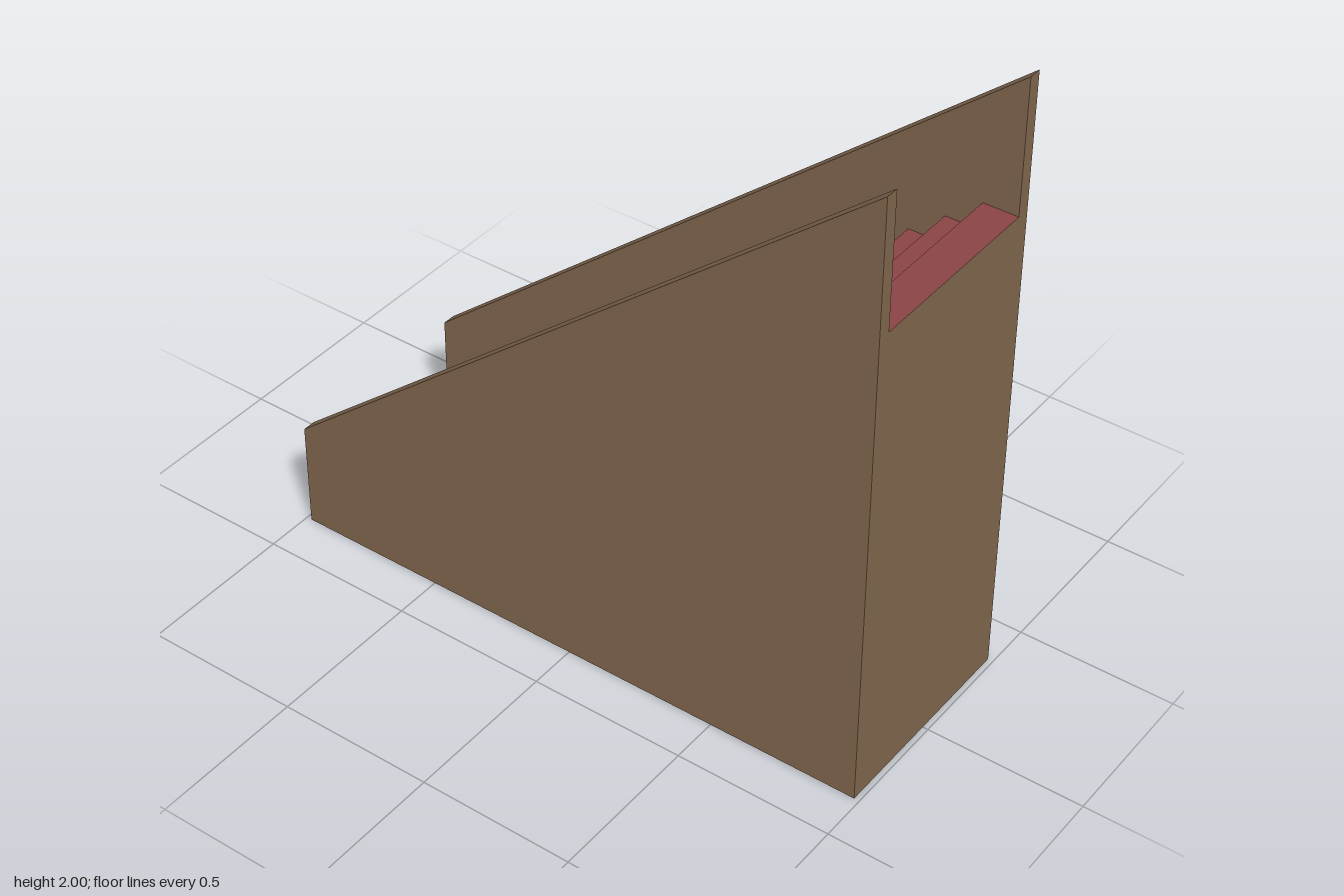
import * as THREE from 'three';

const STEPS = 18;
const HALF_LENGTH = 0.983;   // half the run along z
const INNER = 0.305;         // inner face of each side wall
const OUTER = 0.347;         // outer face of each side wall
const STAIR_TOP = 1.573;
const RUN = (2 * HALF_LENGTH) / STEPS;
const RISE = STAIR_TOP / STEPS;

export function createModel() {
  const wood = new THREE.MeshStandardMaterial({ color: 0x80664e, side: THREE.DoubleSide });
  wood.name = 'brown wood';
  const carpet = new THREE.MeshStandardMaterial({ color: 0x8a4446, side: THREE.DoubleSide });
  carpet.name = 'dark red carpet';

  const group = new THREE.Group();
  group.name = 'staircase';

  const add = (name, geometry, material, x, y, z, parent = group) => {
    const mesh = new THREE.Mesh(geometry, material);
    mesh.name = name;
    mesh.position.set(x, y, z);
    parent.add(mesh);
    return mesh;
  };

  // Side walls: sloped outline in (z, y), extruded across x
  const outline = new THREE.Shape([
    new THREE.Vector2(-HALF_LENGTH, 0),
    new THREE.Vector2(HALF_LENGTH, 0),
    new THREE.Vector2(HALF_LENGTH, 0.35),
    new THREE.Vector2(-HALF_LENGTH, 2),
  ]);
  const wallGeometry = new THREE.ExtrudeGeometry(outline, { depth: OUTER - INNER, bevelEnabled: false });
  wallGeometry.rotateY(Math.PI / 2); // shape x becomes -z, depth becomes +x
  add('leftWall', wallGeometry, wood, INNER, 0, 0);
  add('rightWall', wallGeometry, wood, -OUTER, 0, 0);

  // Tall panel closing the high end; the underside stays open
  add('endPanel', new THREE.PlaneGeometry(2 * INNER, STAIR_TOP), wood, 0, STAIR_TOP / 2, HALF_LENGTH);

  // Thin treads and risers climbing from the back towards the front
  const treadGeometry = new THREE.PlaneGeometry(2 * INNER, RUN).rotateX(-Math.PI / 2);
  const riserGeometry = new THREE.PlaneGeometry(2 * INNER, RISE).rotateY(Math.PI);
  const steps = new THREE.Group();
  steps.name = 'steps';
  group.add(steps);
  for (let i = 0; i < STEPS; i++) {
    const z = -HALF_LENGTH + i * RUN;
    add('riser', riserGeometry, carpet, 0, (i + 0.5) * RISE, z, steps);
    add('tread', treadGeometry, carpet, 0, (i + 1) * RISE, z + RUN / 2, steps);
  }

  return group;
}
